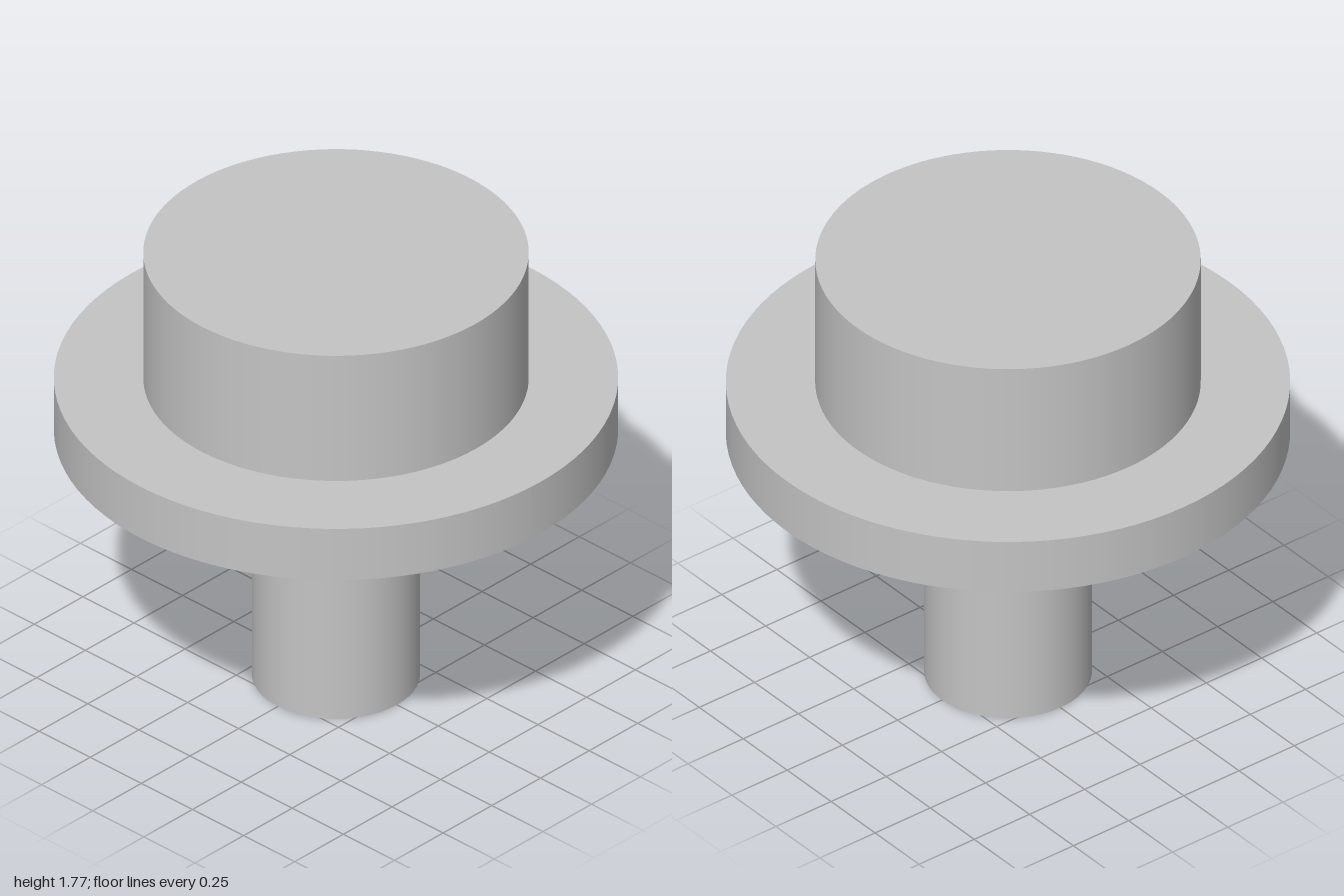
import * as THREE from 'three';

const SEGMENTS = 96;

export function createModel() {
  const model = new THREE.Group();
  model.name = 'flangedPin';

  const grey = new THREE.MeshStandardMaterial({ color: 0xc4c4c4 });
  grey.name = 'light grey';

  // Upright solid disc or rod between two heights
  const addRound = (name, radius, bottom, top) => {
    const geometry = new THREE.CylinderGeometry(radius, radius, top - bottom, SEGMENTS);
    const mesh = new THREE.Mesh(geometry, grey);
    mesh.name = name;
    mesh.position.y = (bottom + top) / 2;
    model.add(mesh);
  };

  addRound('shaft', 0.298, 0, 1.028); // narrow rod standing on the ground
  addRound('flange', 1, 1.028, 1.243); // wide collar
  addRound('head', 0.683, 1.243, 1.768); // thick round cap

  return model;
}
